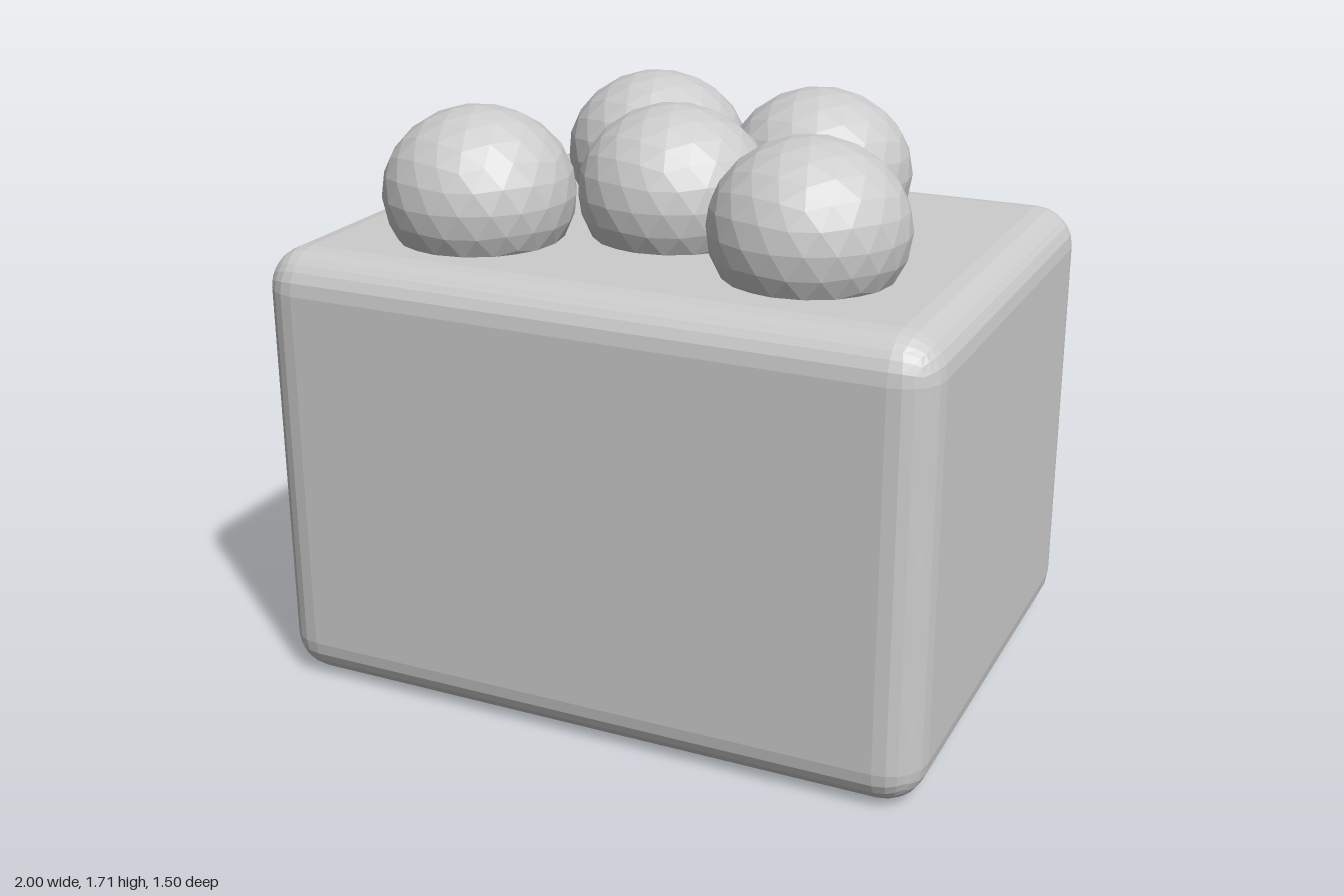
import * as THREE from 'three';
import { RoundedBoxGeometry } from 'three/addons/geometries/RoundedBoxGeometry.js';

export function createModel() {
  const model = new THREE.Group();
  model.name = 'boxWithBalls';

  const grey = new THREE.MeshStandardMaterial({ color: 0xcccccc, flatShading: true });
  grey.name = 'light grey';

  // Solid block with softly rounded edges
  const height = 1.333;
  const block = new THREE.Mesh(new RoundedBoxGeometry(2, height, 1.5, 3, 0.12), grey);
  block.name = 'block';
  block.position.y = height / 2;
  model.add(block);

  // Faceted, slightly flattened balls sunk into the top
  const ballGeometry = new THREE.IcosahedronGeometry(0.28, 3);
  ballGeometry.rotateZ(Math.atan(2 / (1 + Math.sqrt(5)))); // one corner points up
  ballGeometry.rotateY(Math.PI);
  ballGeometry.scale(1, 0.9, 1);
  const spots = [[-0.5, 0.33], [0, 0.08], [0.5, 0.3], [-0.25, -0.34], [0.3, -0.3]];
  spots.forEach(([x, z], i) => {
    const ball = new THREE.Mesh(ballGeometry, grey);
    ball.name = `ball${i + 1}`;
    ball.position.set(x, 1.458, z);
    model.add(ball);
  });

  return model;
}
